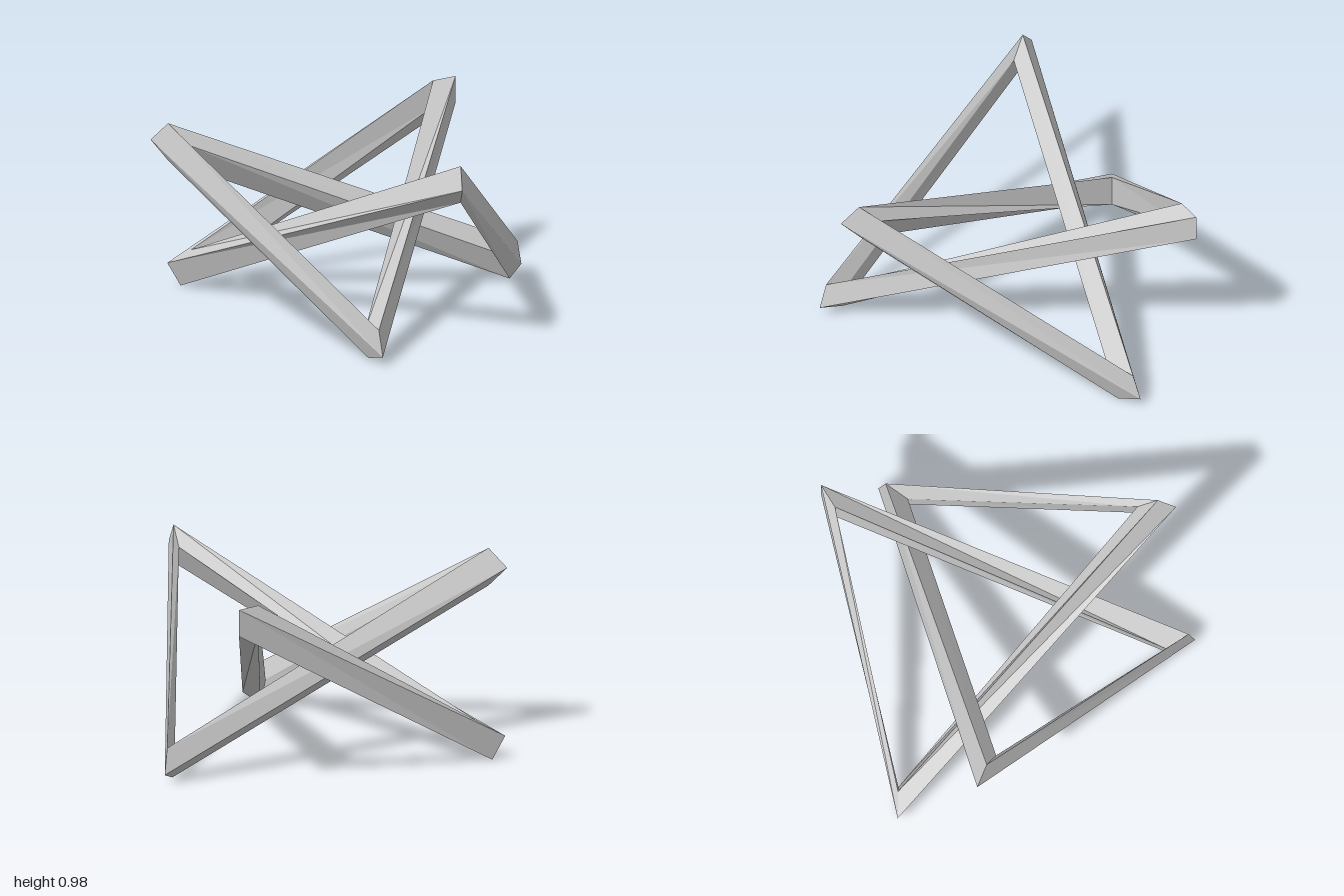
import * as THREE from 'three';

const RADIUS = 0.953;        // distance of each bend from the knot axis
const LOW = 0.098, HIGH = 0.89;
const CENTRE_Z = 0.152;
const HALF_DIAGONAL = 0.097; // of the square section

// Bends alternate between a low triangle and its mirrored high triangle.
// Each has its angle, and the direction of its outermost section corner.
const bends = [
  { angle: -76, high: true, corner: [-0.012, 0.065, -0.07] },
  { angle: 164, high: false, corner: [-0.075, 0.025, 0.05] },
  { angle: 164, high: true, corner: [0.075, -0.005, 0.05] },
  { angle: -76, high: false, corner: [-0.005, -0.045, -0.09] },
  { angle: 44, high: true, corner: [-0.095, 0, 0.045] },
  { angle: 44, high: false, corner: [0.07, -0.045, 0.045] },
];

function bendCentre({ angle, high }) {
  const a = THREE.MathUtils.degToRad(angle);
  const x = RADIUS * Math.cos(a);
  return new THREE.Vector3(high ? -x : x, high ? HIGH : LOW, CENTRE_Z + RADIUS * Math.sin(a));
}

// Square mitre sections, one per bend
function makeRings() {
  const n = bends.length;
  const centres = bends.map(bendCentre);
  return bends.map((bend, i) => {
    const tangent = centres[(i + 1) % n].clone().sub(centres[(i + n - 1) % n]).normalize();
    const offset = new THREE.Vector3(...bend.corner)
      .projectOnPlane(tangent).setLength(HALF_DIAGONAL);
    return [0, 1, 2, 3].map((k) =>
      offset.clone().applyAxisAngle(tangent, k * Math.PI / 2).add(centres[i]));
  });
}

// Four-sided beam lofted between two sections
function beamGeometry(from, to) {
  const points = [];
  for (let k = 0; k < 4; k++) {
    const j = (k + 1) % 4;
    points.push(from[k], from[j], to[j], from[k], to[j], to[k]);
  }
  const geometry = new THREE.BufferGeometry().setFromPoints(points);
  geometry.computeVertexNormals();
  return geometry;
}

export function createModel() {
  const group = new THREE.Group();
  group.name = 'sixBeamTrefoilKnot';
  const material = new THREE.MeshStandardMaterial({ color: 0xcccccc, flatShading: true });

  const rings = makeRings();
  // The section has turned by one corner when the loop closes
  const first = rings[0];
  rings.push([first[1], first[2], first[3], first[0]]);

  for (let i = 0; i < bends.length; i++) {
    const beam = new THREE.Mesh(beamGeometry(rings[i], rings[i + 1]), material);
    beam.name = `beam${i + 1}`;
    group.add(beam);
  }
  return group;
}
